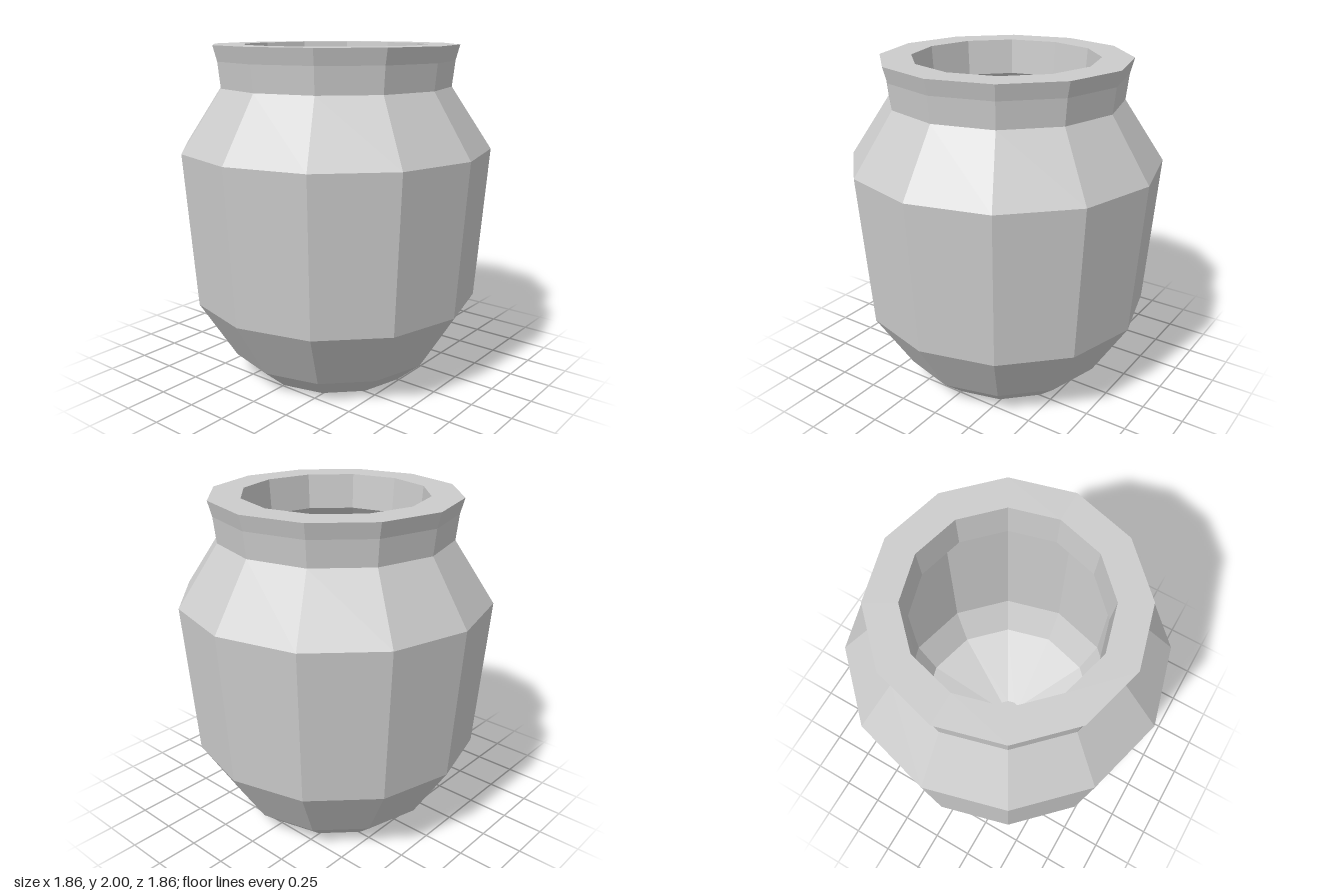
import * as THREE from 'three';

const SIDES = 12;

// Faceted surface of revolution with hard edges between all faces
function facetedLathe(profile) {
  const points = profile.map(([r, y]) => new THREE.Vector2(r, y));
  const geometry = new THREE.LatheGeometry(points, SIDES).toNonIndexed();
  geometry.computeVertexNormals();
  return geometry;
}

export function createModel() {
  const clay = new THREE.MeshStandardMaterial({ color: 0xcccccc });
  clay.name = 'paleGrey';

  const parts = {
    // Closed base, belly, shoulder and flared neck
    outerBody: [[0, 0], [0.49, 0], [0.645, 0.135], [0.865, 0.49], [0.93, 1.4],
      [0.69, 1.76], [0.706, 1.91], [0.73, 2]],
    // Flat ring around the mouth
    rim: [[0.73, 2], [0.545, 2]],
    // Hollow inside, running from the mouth down to the shallow bowl floor
    innerCavity: [[0.545, 2], [0.53, 1.79], [0.74, 1.53], [0.72, 0.5],
      [0.6, 0.26], [0.09, 0.12], [0, 0.12]],
  };

  const jar = new THREE.Group();
  jar.name = 'jar';
  for (const [name, profile] of Object.entries(parts)) {
    const mesh = new THREE.Mesh(facetedLathe(profile), clay);
    mesh.name = name;
    jar.add(mesh);
  }
  return jar;
}
